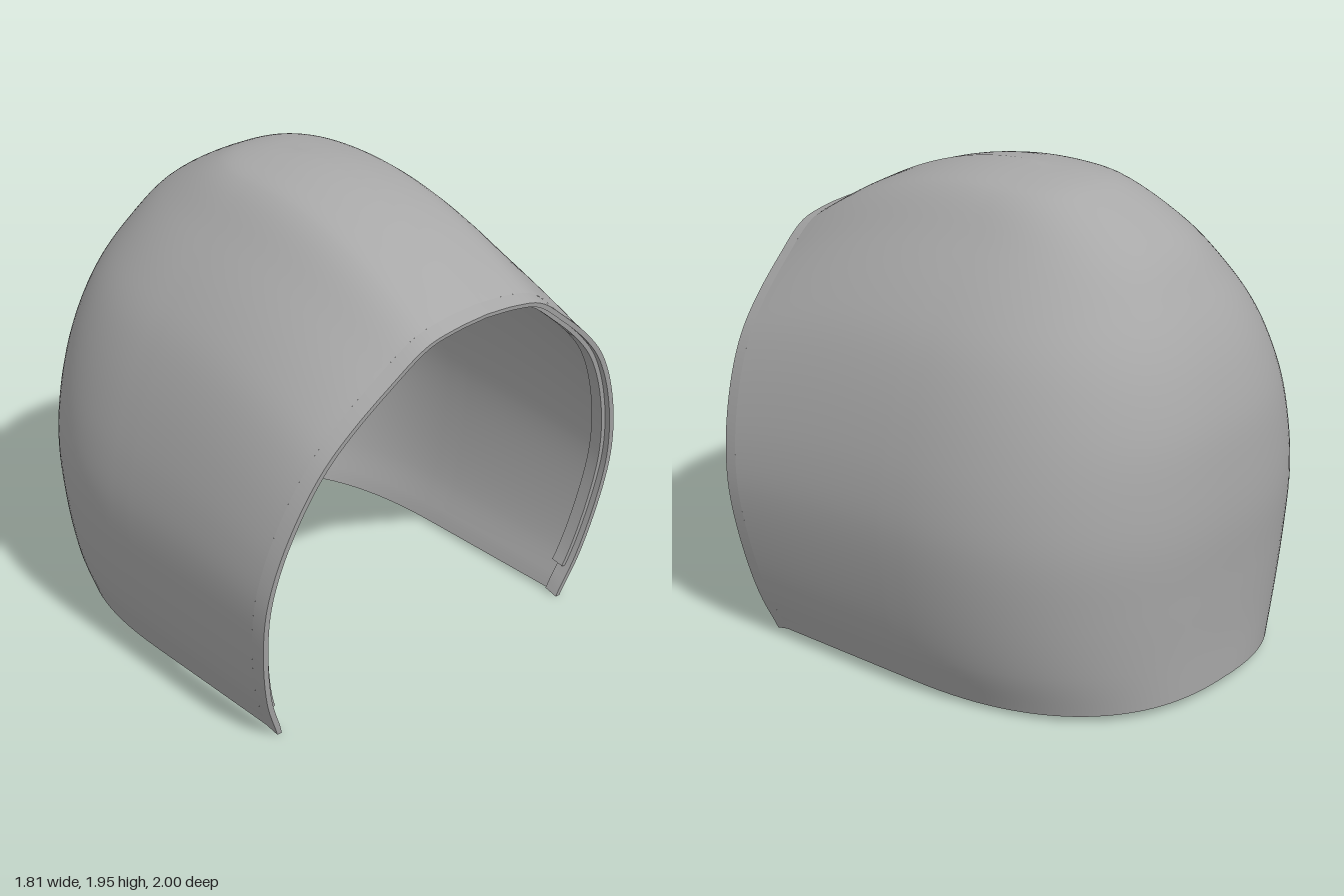
import * as THREE from 'three';
import { mergeVertices, mergeGeometries } from 'three/addons/utils/BufferGeometryUtils.js';

// Wall profile from the bottom rim to the ridge: half width, height, depth behind centre
const profile = new THREE.CatmullRomCurve3([
  [0.77, 0.02, 0.965], [0.84, 0.2, 0.97], [0.89, 0.45, 0.985], [0.907, 0.7, 1.0],
  [0.885, 0.9, 0.993], [0.835, 1.1, 0.97], [0.77, 1.28, 0.92], [0.7, 1.42, 0.86],
  [0.6, 1.56, 0.775], [0.45, 1.73, 0.64], [0.28, 1.895, 0.37], [0.15, 1.937, 0.23], [0, 1.955, 0],
].map(p => new THREE.Vector3(...p)));

// Profile point at t, moved inwards by inset
function wall(t, inset) {
  const p = profile.getPoint(t), d = profile.getTangent(t);
  const len = Math.hypot(d.x, d.y), nx = d.y / len, ny = -d.x / len;
  return {
    a: t >= 1 ? 0 : Math.max(0, p.x - nx * inset),
    y: t <= 0 ? p.y : p.y - ny * inset,
    b: t >= 1 ? 0 : Math.max(0, p.z - nx * inset),
  };
}

// The roof falls towards the front
const slope = (y, z) => y - 0.345 * Math.max(0, z) ** 2 * (y / 1.955) ** 1.5;

// Depth of the leaning front opening for a given profile height
function frontZ(y) {
  let z = 0.8;
  for (let i = 0; i < 8; i++) z = 0.67 + 0.165 * slope(y, z);
  return z;
}

// Smooth surface from a function of (u, v)
function grid(nu, nv, fn) {
  const pos = [], index = [];
  for (let j = 0; j <= nv; j++)
    for (let i = 0; i <= nu; i++) pos.push(...fn(i / nu, j / nv));
  for (let j = 0; j < nv; j++)
    for (let i = 0; i < nu; i++) {
      const a = j * (nu + 1) + i, b = a + 1, c = b + nu + 1, d = c - 1;
      index.push(a, b, c, a, c, d);
    }
  let g = new THREE.BufferGeometry();
  g.setAttribute('position', new THREE.Float32BufferAttribute(pos, 3));
  g.setIndex(index);
  g = mergeVertices(g, 1e-5);
  g.computeVertexNormals();
  return g;
}

// Shell point: u runs from the left front edge round the back to the right front edge
function shellPoint(u, t, inset) {
  const { a, y, b } = wall(t, inset);
  const s = 0.25;
  let x, z;
  if (u < s || u > 1 - s) {
    x = u < s ? a : -a;
    z = frontZ(y) * (1 - Math.min(u, 1 - u) / s);
  } else {
    const th = Math.PI * (u - s) / (1 - 2 * s), c = Math.cos(th);
    x = a * Math.sign(c) * Math.abs(c) ** 0.8;
    z = -b * Math.max(0, Math.sin(th)) ** 0.8;
  }
  const lift = 0.02 * Math.max(0, -z) ** 2 * (1 - t);
  return [x, slope(y, z) + lift, z];
}

// Point on the front arch: u from left foot over the top to right foot
function archPoint(u, start, dz, inset) {
  const k = 1 - 2 * u, t = 1 - Math.abs(k) * (1 - start);
  const { a, y } = wall(t, inset), z = frontZ(y);
  return [Math.sign(k) * a, slope(y, z) - Math.max(0, dz) * 0.25, z + dz];
}

// Band along the front arch with a closed section of [forward, inset] corners
function archBand(start, section) {
  const strips = section.map((p, i) => {
    const q = section[(i + 1) % section.length];
    return grid(120, 1, (u, v) => archPoint(u, start,
      p[0] + (q[0] - p[0]) * v, p[1] + (q[1] - p[1]) * v));
  });
  // End caps at both feet
  for (const foot of [0, 1])
    strips.push(grid(1, 1, (u, v) => {
      const mix = i => (1 - u) * ((1 - v) * section[0][i] + v * section[1][i])
        + u * ((1 - v) * section[3][i] + v * section[2][i]);
      return archPoint(foot, start, mix(0), mix(1));
    }));
  return mergeGeometries(strips);
}

export function createModel() {
  const group = new THREE.Group();
  const grey = new THREE.MeshStandardMaterial({ color: 0xa8a8a8, side: THREE.DoubleSide });
  grey.name = 'grey';
  const add = (name, geometry) => {
    const mesh = new THREE.Mesh(geometry, grey);
    mesh.name = name;
    group.add(mesh);
  };
  const thick = 0.02;

  add('outerShell', grid(120, 72, (u, v) => shellPoint(u, v, 0)));
  add('innerShell', grid(120, 72, (u, v) => shellPoint(1 - u, v, thick)));
  add('bottomRim', grid(120, 1, (u, v) => shellPoint(u, 0, thick * (1 - v))));

  // Collar around the opening and the raised lip just inside it
  add('frontCollar', archBand(0, [[0, 0], [0.06, 0.005], [0.06, 0.028], [0, 0.028]]));
  add('innerLip', archBand(0.055, [[-0.02, 0.028], [0.035, 0.028], [0.035, 0.048], [-0.02, 0.048]]));
  return group;
}
